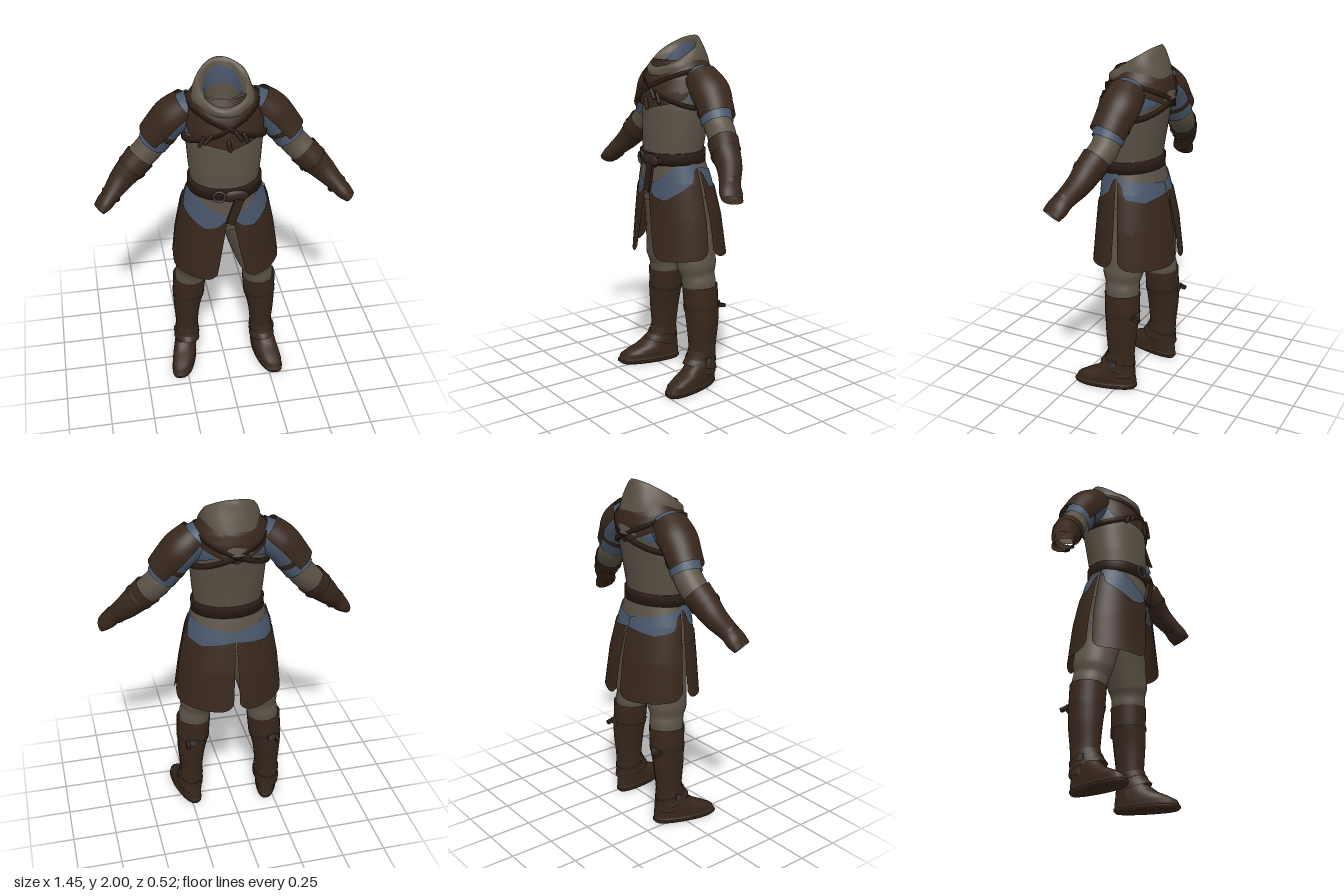
import * as THREE from 'three';
import { ParametricGeometry } from 'three/addons/geometries/ParametricGeometry.js';

const paint = (name, color) => new THREE.MeshStandardMaterial({ name, color, side: THREE.DoubleSide });
const leather = paint('brown leather', 0x38271c);
const strapLeather = paint('dark strap leather', 0x32231a);
const linen = paint('taupe linen', 0x5b5246);
const cloth = paint('blue cloth', 0x48566a);
const metal = paint('dark metal', 0x3c3a38);

const DEG = Math.PI / 180;
const lerp = THREE.MathUtils.lerp;

// Linear lookup in rows [key, ...values], keys ascending
function sample(rows, k) {
  if (k <= rows[0][0]) return rows[0].slice(1);
  for (let i = 1; i < rows.length; i++) {
    if (k <= rows[i][0]) {
      const a = rows[i - 1], b = rows[i], t = (k - a[0]) / (b[0] - a[0]);
      return a.slice(1).map((q, j) => lerp(q, b[j + 1], t));
    }
  }
  return rows[rows.length - 1].slice(1);
}

// Cross-sections: y, centre x, centre z, half width, half depth
const BODY = [[1.08, 0, 0, 0.225, 0.175], [1.22, 0, 0.01, 0.215, 0.17], [1.34, 0.003, 0.022, 0.19, 0.158], [1.45, 0.004, 0.015, 0.202, 0.167],
  [1.6, 0.006, 0, 0.213, 0.178], [1.7, 0.004, -0.015, 0.213, 0.183], [1.77, 0, -0.025, 0.2, 0.172], [1.82, 0, -0.03, 0.18, 0.155], [1.87, 0, -0.03, 0.145, 0.13]];
const SKIRT = [[0.76, 0.013, -0.015, 0.312, 0.242], [1.0, 0.008, -0.01, 0.283, 0.218], [1.2, 0.004, 0.005, 0.245, 0.188], [1.32, 0.002, 0.015, 0.207, 0.168]];

function around(rows, y, a, off, target) {
  const [cx, cz, rx, rz] = sample(rows, y);
  return target.set(cx + Math.sin(a) * (rx + off), y, cz + Math.cos(a) * (rz + off));
}

export function createModel() {
  const model = new THREE.Group();
  model.name = 'outfit';

  function add(name, geometry, material, pos = [0, 0, 0], rot = [0, 0, 0]) {
    const mesh = new THREE.Mesh(geometry, material);
    mesh.name = name;
    mesh.position.set(...pos);
    mesh.rotation.set(...rot);
    model.add(mesh);
  }
  const box = (name, mat, size, pos, rot) => add(name, new THREE.BoxGeometry(...size), mat, pos, rot);

  // Sheet that hugs the body between two height rules of the angle (0 = front, + = left)
  function wrap(name, mat, low, high, off, a0 = -180, a1 = 180, nu = 72, nv = 14) {
    add(name, new ParametricGeometry((u, v, p) => {
      const a = lerp(a0, a1, u);
      around(BODY, lerp(low(a), high(a), v), a * DEG, off, p);
    }, nu, nv), mat);
  }

  // Thick strap round the body: turned-in edges reach the surface below
  function band(name, mat, mid, half, off) {
    const edge = [[0, -1, -0.005], [1, -1, off], [2, 1, off], [3, 1, -0.005]];
    add(name, new ParametricGeometry((u, v, p) => {
      const a = lerp(-180, 180, u), [h, o] = sample(edge, v * 3);
      around(BODY, mid(a), a * DEG, o, p).y += h * half;
    }, 72, 3), mat);
  }

  // Tube along points [x, y, z, outward radius, forward radius]; angle 0 = outward
  function limb(name, mat, s, pts, a0 = 0, a1 = 360, nv = 14) {
    const path = new THREE.CatmullRomCurve3(pts.map(q => new THREE.Vector3(q[0] * s, q[1], q[2])));
    const size = new THREE.CatmullRomCurve3(pts.map(q => new THREE.Vector3(q[3], q[4] ?? q[3], 0)));
    const zAxis = new THREE.Vector3(0, 0, 1);
    add(name, new ParametricGeometry((u, v, p) => {
      const a = lerp(a0, a1, u) * DEG, r = size.getPoint(v), t = path.getTangent(v);
      const out = new THREE.Vector3().crossVectors(t, zAxis).multiplyScalar(-s).normalize();
      const fore = new THREE.Vector3().crossVectors(t, out).multiplyScalar(s);
      p.copy(path.getPoint(v)).addScaledVector(out, Math.cos(a) * r.x).addScaledVector(fore, Math.sin(a) * r.y);
    }, 28, nv), mat);
  }

  // Tunic, blue shoulder cloth and leather mantle
  wrap('tunic', linen, () => 1.08, () => 1.87, 0, -180, 180, 64, 40);
  for (const s of [1, -1]) wrap('shoulderCloth', cloth, a => 1.63 + 0.05 * Math.abs(Math.abs(a) - 95) / 45, () => 1.87, 0.006, s * 52, s * 148, 24, 10);
  const mantleEdge = [[0, 1.605], [14, 1.62], [45, 1.645], [62, 1.665], [74, 1.74], [88, 1.82], [115, 1.76], [150, 1.71], [180, 1.66]];
  wrap('mantle', leather, a => sample(mantleEdge, Math.abs(a))[0], () => 1.87, 0.014);

  // Crossed harness straps
  for (const s of [1, -1]) {
    band('harnessStrap', strapLeather, a => 1.715 + s * 0.1 * Math.sin(a * DEG) + 0.01 * Math.cos(a * DEG), 0.013, 0.021);
  }
  // Knots and small pouches on the harness
  for (const [x, y, z, tilt] of [[-0.14, 1.65, 0.15, -0.5], [-0.11, 1.67, 0.17, -0.7], [0.05, 1.69, 0.19, 0.6], [0.09, 1.67, 0.18, 0.4], [0, 1.635, 0.198, 0.2]]) {
    add('harnessPouch', new THREE.CapsuleGeometry(0.011, 0.05, 4, 8), strapLeather, [x, y, z], [0, 0, tilt]);
  }

  // Hood: tilted rings of front [y, z], back [y, z] and half width
  function hoodPart(name, mat, rings, fold) {
    const f = new THREE.CatmullRomCurve3(rings.map(r => new THREE.Vector3(r[0], r[1], r[4])));
    const b = new THREE.CatmullRomCurve3(rings.map(r => new THREE.Vector3(r[2], r[3], 0)));
    add(name, new ParametricGeometry((u, v, p) => {
      const a = u * Math.PI * 2, c = Math.cos(a), F = f.getPoint(v), B = b.getPoint(v);
      const k = 1 + fold * Math.sin(a * 5 + v * 7) * Math.sin(v * Math.PI);
      p.set(Math.sin(a) * F.z * k, (F.x + B.x) / 2 + c * (F.x - B.x) / 2, (F.y + B.y) / 2 + c * k * (F.y - B.y) / 2);
    }, 48, 18), mat);
  }
  const rim = [1.79, 0.092, 1.955, -0.11, 0.1], neck = [1.755, 0.084, 1.86, -0.102, 0.093];
  hoodPart('hood', linen, [[1.775, 0.125, 1.71, -0.222, 0.165], [1.785, 0.155, 1.83, -0.196, 0.172], [1.815, 0.158, 1.925, -0.166, 0.163],
    [1.832, 0.135, 1.995, -0.135, 0.135], [1.815, 0.108, 1.985, -0.118, 0.115], rim], 0.03);
  hoodPart('hoodLining', cloth, [rim, [1.775, 0.087, 1.91, -0.105, 0.096], neck], 0);
  hoodPart('collarInside', linen, [neck, [1.69, 0.07, 1.74, -0.09, 0.08], [1.62, 0.005, 1.62, -0.005, 0.005]], 0);

  // Belt, buckle and hanging end
  band('belt', strapLeather, a => 1.336 - 0.008 * Math.cos(a * DEG), 0.032, 0.017);
  add('beltBuckle', new THREE.TorusGeometry(0.032, 0.008, 6, 20), metal, [-0.055, 1.325, 0.198], [0, -0.2, 0]);
  add('beltKnot', new THREE.SphereGeometry(0.05, 16, 10).scale(1.5, 0.75, 0.4), strapLeather, [0.035, 1.32, 0.195]);
  box('beltLoop', strapLeather, [0.1, 0.035, 0.02], [0.07, 1.305, 0.195], [0, 0.3, 0.5]);
  box('beltEnd', strapLeather, [0.05, 0.17, 0.016], [0.03, 1.225, 0.205], [0.05, 0, -0.3]);

  // Skirt panels: blue yoke above, leather below, with slits in front, back and sides
  const skirtAngle = (front, u, y) => {
    const t = (1.25 - y) / 0.47;
    return front ? lerp(1 + 15 * t, 89 - 3 * t, u) : lerp(179.5 - 3 * t, 92 + 3 * t, u);
  };
  function panel(name, mat, s, front, low, high, off) {
    add(name, new ParametricGeometry((u, v, p) => {
      const y = lerp(low(u), high(u), v);
      around(SKIRT, y, s * skirtAngle(front, u, y) * DEG, off, p);
    }, 24, 16), mat);
  }
  const rise = rows => u => sample(rows, u)[0];
  const hem = u => 0.76 + 0.025 * u + 0.045 * Math.pow(Math.abs(2 * u - 1), 8);
  const frontTop = rise([[0, 1.17], [0.12, 1.12], [0.3, 1.105], [0.6, 1.16], [0.85, 1.21], [0.93, 1.28], [1, 1.285]]);
  const backTop = rise([[0, 1.18], [0.5, 1.155], [0.85, 1.18], [0.93, 1.26], [1, 1.27]]);
  const frontYoke = rise([[0, 1.18], [0.2, 1.215], [0.5, 1.28], [0.7, 1.305], [1, 1.31]]);
  const backYoke = rise([[0, 1.235], [0.5, 1.26], [1, 1.29]]);
  for (const s of [1, -1]) {
    panel('frontSkirtPanel', leather, s, true, hem, frontTop, 0.006);
    panel('backSkirtPanel', leather, s, false, hem, backTop, 0.006);
    panel('frontYoke', cloth, s, true, u => frontTop(u) - 0.04, u => Math.max(frontYoke(u), frontTop(u)), -0.001);
    panel('backYoke', cloth, s, false, u => backTop(u) - 0.04, u => Math.max(backYoke(u), backTop(u)), -0.001);
  }
  // Tunic flare tucked under the yoke
  add('tunicHem', new ParametricGeometry((u, v, p) => around(SKIRT, lerp(1.12, 1.33, v), u * Math.PI * 2, -0.007, p), 96, 12), linen);

  for (const s of [1, -1]) {
    // Arms: the left one reaches further forward
    const z = s > 0 ? [-0.035, -0.035, -0.01, 0.01, 0.055, 0.11, 0.145] : [-0.045, -0.06, -0.08, -0.075, -0.045, 0, 0.025];
    const zMid = (z[1] + z[2]) / 2;
    limb('sleeve', cloth, s, [[0.15, 1.765, z[0], 0.095], [0.27, 1.695, z[1], 0.1], [0.33, 1.61, zMid, 0.09], [0.376, 1.543, z[2], 0.086]]);
    limb('shoulderPad', leather, s, [[0.185, 1.775, z[0], 0.095, 0.1], [0.27, 1.7, z[1], 0.108, 0.115], [0.325, 1.635, zMid, 0.103, 0.106],
      [0.375, 1.578, z[2], 0.092, 0.1]], -100, 100);
    limb('armStrap', strapLeather, s, [[0.32, 1.628, zMid, 0.096], [0.34, 1.6, zMid, 0.094]], 0, 360, 3);
    limb('forearmSleeve', linen, s, [[0.35, 1.575, z[2], 0.074], [0.4, 1.51, z[2], 0.078], [0.45, 1.46, z[3], 0.076], [0.5, 1.415, (z[3] + z[4]) / 2, 0.066]]);
    limb('bracer', leather, s, [[0.448, 1.462, z[3], 0.087, 0.083], [0.5, 1.41, (z[3] + z[4]) / 2, 0.08, 0.078], [0.56, 1.35, z[4], 0.068, 0.068],
      [0.635, 1.272, z[5], 0.048, 0.058], [0.665, 1.24, (z[5] + z[6]) / 2, 0.046, 0.064], [0.7, 1.208, z[6], 0.032, 0.06]]);
    for (const [x, y, k, r] of [[0.5, 1.41, 0.5, 0.083], [0.63, 1.277, 1.9, 0.054]]) {
      const i = Math.floor(k), zz = lerp(z[3 + i], z[4 + i], k - i);
      limb('bracerStrap', strapLeather, s, [[x - 0.008, y + 0.008, zz, r], [x + 0.008, y - 0.008, zz, r]], 0, 360, 2);
      box('bracerBuckle', metal, [0.014, 0.018, 0.026], [s * (x - r * 0.7), y - r * 0.7, zz], [0, 0, s * 0.78]);
    }

    // Legs: the right one stands further back and closer in, its foot turned out more
    const back = s > 0 ? 0 : -0.052, inward = s > 0 ? 0 : -0.022;
    const set = rows => rows.map(q => {
      const k = Math.min(1, (1.12 - q[1]) * 2);
      return [q[0] + inward * k, q[1], q[2] + back * k, q[3], q[4]];
    });
    limb('trouserLeg', linen, s, set([[0.095, 1.12, 0, 0.12, 0.14], [0.12, 0.98, -0.005, 0.117, 0.133], [0.172, 0.8, -0.01, 0.11, 0.122],
      [0.195, 0.72, -0.008, 0.103, 0.117], [0.205, 0.66, -0.01, 0.088, 0.1], [0.212, 0.62, -0.012, 0.092, 0.1], [0.222, 0.54, -0.015, 0.08, 0.09]]), 0, 360, 24);
    limb('bootShaft', leather, s, set([[0.219, 0.605, -0.015, 0.099, 0.103], [0.225, 0.5, -0.018, 0.096, 0.101], [0.237, 0.38, -0.018, 0.081, 0.094],
      [0.24, 0.25, -0.016, 0.068, 0.082], [0.244, 0.14, -0.016, 0.066, 0.077], [0.248, 0.08, -0.02, 0.068, 0.078]]), 0, 360, 20);
    limb('bootGaiter', leather, s, set([[0.241, 0.22, -0.014, 0.07, 0.084], [0.243, 0.17, -0.008, 0.073, 0.092], [0.247, 0.125, 0.005, 0.078, 0.112]]), 0, 360, 6);
    limb('calfStrap', strapLeather, s, set([[0.2255, 0.492, -0.018, 0.098, 0.104], [0.228, 0.468, -0.018, 0.096, 0.103]]), 0, 360, 2);
    limb('ankleStrap', strapLeather, s, set([[0.242, 0.185, -0.01, 0.075, 0.094], [0.243, 0.165, -0.006, 0.077, 0.098]]), 0, 360, 2);
    box('calfBuckle', metal, [0.045, 0.04, 0.012], [s * (0.245 + inward), 0.48, -0.121 + back], [0, s * -0.2, 0]);
    box('calfStrapEnd', strapLeather, [0.022, 0.02, 0.05], [s * (0.275 + inward), 0.475, -0.127 + back], [-0.25, 0, 0]);
    box('ankleBuckle', metal, [0.01, 0.035, 0.035], [s * (0.318 + inward), 0.175, -0.005 + back]);
    // Overlapping seam at the outer back of the boot
    limb('bootFlap', leather, s, set([[0.228, 0.47, -0.018, 0.097, 0.103], [0.237, 0.38, -0.018, 0.085, 0.098], [0.24, 0.25, -0.016, 0.072, 0.086],
      [0.242, 0.18, -0.016, 0.07, 0.082]]), -95, -20, 10);

    // Shoe rows: step, y, heel z, toe z, half width
    const shoeRows = [[0, 0.05, 0.05, 0], [0, -0.1, 0.25, 0.066], [0.012, -0.11, 0.263, 0.074], [0.024, -0.11, 0.263, 0.075], [0.026, -0.105, 0.258, 0.072],
      [0.055, -0.104, 0.245, 0.074], [0.08, -0.1, 0.2, 0.073], [0.105, -0.098, 0.145, 0.071], [0.15, -0.094, 0.09, 0.066]]
      .map((r, i) => [i, ...r]);
    const [heelX, splay] = s > 0 ? [0.247, 0.15] : [0.23, 0.26];
    add('shoe', new ParametricGeometry((u, v, p) => {
      const [y, heel, toe, w] = sample(shoeRows, v * 8), a = u * Math.PI * 2;
      const c = Math.cos(a), zz = (heel + toe) / 2 + c * (toe - heel) / 2;
      const side = Math.sign(Math.sin(a)) * Math.pow(Math.abs(Math.sin(a)), 0.75) * w;
      p.set(s * (heelX + zz * splay + side * (0.95 + 0.1 * c)), y, zz + back);
    }, 36, 16), leather);
  }
  return model;
}
